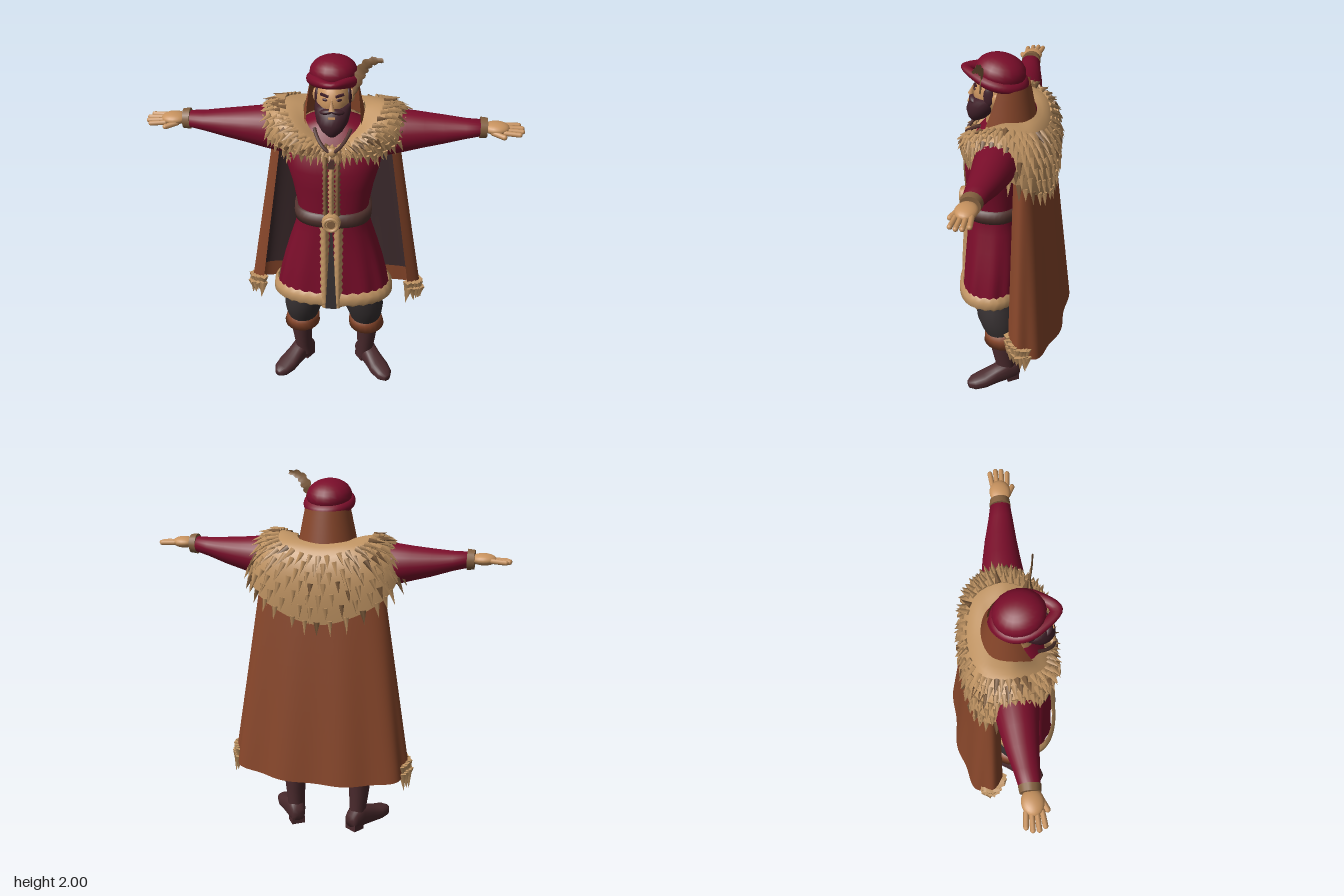
import * as THREE from 'three';
import { mergeGeometries, mergeVertices } from 'three/addons/utils/BufferGeometryUtils.js';

const mat = (name, color, extra = {}) => Object.assign(new THREE.MeshStandardMaterial({ color, ...extra }), { name });
const DS = { side: THREE.DoubleSide };
const M = {
  red: mat('crimsonCloth', 0x7a0d2a, DS), fur: mat('tanFur', 0xc09463, DS), skin: mat('skin', 0xc8935f),
  brown: mat('russetCloth', 0x87462a, DS), boot: mat('bootLeather', 0x4a2a2d), pants: mat('darkTrousers', 0x363031, DS),
  lining: mat('capeLining', 0x3d2b2d, DS), beard: mat('darkHair', 0x41212a), shade: mat('brownFur', 0x83603f, DS),
  belt: mat('beltLeather', 0x52342f, DS),
};
let seed = 7;
const rnd = () => (seed = (seed * 16807) % 2147483647) / 2147483647;
const V = (x, y, z) => new THREE.Vector3(x, y, z);
const lerp = THREE.MathUtils.lerp;

function add(parent, name, geo, material, pos, scale, rot) {
  const m = new THREE.Mesh(geo, material);
  m.name = name;
  if (pos) m.position.set(...pos);
  if (scale) m.scale.set(...scale);
  if (rot) m.rotation.set(...rot);
  parent.add(m);
  return m;
}

// Surface from a rule f(u, v) -> [x, y, z]; faces outward when u runs right and v runs up
function grid(nu, nv, f) {
  const p = [], idx = [], w = nu + 1;
  for (let j = 0; j <= nv; j++) for (let i = 0; i <= nu; i++) p.push(...f(i / nu, j / nv, i, j));
  for (let j = 0; j < nv; j++) for (let i = 0; i < nu; i++) {
    const a = j * w + i;
    idx.push(a, a + 1, a + w + 1, a, a + w + 1, a + w);
  }
  let g = new THREE.BufferGeometry();
  g.setAttribute('position', new THREE.Float32BufferAttribute(p, 3));
  g.setIndex(idx);
  g = mergeVertices(g, 1e-5);
  g.computeVertexNormals();
  return g;
}

// Stack of rounded sections [y, cx, cz, rx, rz]
function loft(secs, n = 28, power = 2, ripple = () => 0) {
  const e = 2 / power, sp = t => Math.sign(t) * Math.abs(t) ** e;
  return grid(n, secs.length - 1, (u, v, i, j) => {
    const a = (i % n) / n * Math.PI * 2, [y, cx, cz, rx, rz] = secs[j], k = 1 + ripple(a, y);
    return [cx + rx * k * sp(Math.sin(a)), y, cz + rz * k * sp(Math.cos(a))];
  });
}
const capped = s => [[s[0][0], s[0][1], s[0][2], 0, 0], ...s, [s.at(-1)[0], s.at(-1)[1], s.at(-1)[2], 0, 0]];

function tuft(pos, dir, len, w) {
  const g = new THREE.ConeGeometry(w, len, 4);
  g.translate(0, len * 0.4, 0);
  g.applyQuaternion(new THREE.Quaternion().setFromUnitVectors(V(0, 1, 0), dir.clone().normalize()));
  return g.translate(pos.x, pos.y, pos.z);
}
const ball = () => new THREE.SphereGeometry(1, 20, 14);

const COAT = [[0.62, 0, 0.105, 0.3, 0.165], [0.72, 0, 0.103, 0.285, 0.163], [0.82, 0, 0.1, 0.262, 0.16], [0.92, 0, 0.1, 0.235, 0.153],
  [1.02, 0, 0.102, 0.205, 0.145], [1.1, 0, 0.105, 0.185, 0.14], [1.18, 0, 0.1, 0.187, 0.145], [1.3, 0, 0.092, 0.21, 0.16],
  [1.4, 0, 0.085, 0.238, 0.166], [1.48, 0, 0.07, 0.25, 0.16], [1.55, 0, 0.055, 0.22, 0.14], [1.61, 0, 0.04, 0.15, 0.1], [1.64, 0, 0.04, 0.07, 0.06]];
function coatAt(y, grow = 0) {
  const i = Math.max(1, COAT.findIndex(s => s[0] >= y)), a = COAT[i - 1], b = COAT[i], t = (y - a[0]) / (b[0] - a[0]);
  const s = a.map((q, k) => lerp(q, b[k], t));
  return [y, 0, s[2], s[3] + grow, s[4] + grow];
}
const frontZ = y => { const s = coatAt(Math.max(y, 0.62)); return s[2] + s[4]; };

function buildCoat(g) {
  const pleat = (a, y) => 0.03 * Math.max(0, (1.05 - y) / 0.45) * Math.cos(11 * a);
  add(g, 'coat', loft(COAT, 66, 2.4, pleat), M.red);
  add(g, 'coatUnderside', loft([[0.63, 0, 0.105, 0, 0], [0.632, 0, 0.105, 0.29, 0.155]], 30, 2.4), M.pants);
  // Ragged fur hem
  const n = 60, hem = grid(n, 3, (u, v, i, j) => {
    const a = (i % n) / n * Math.PI * 2, r = [0.005, 0.025, 0.022, 0.004][j], jag = (i % 2) * 0.012;
    const sp = t => Math.sign(t) * Math.abs(t) ** 0.83;
    return [(0.3 + r) * sp(Math.sin(a)), [0.605 - jag, 0.62, 0.66, 0.675 + jag][j], 0.105 + (0.165 + r) * sp(Math.cos(a))];
  });
  add(g, 'furHem', hem, M.fur);
  // Front opening: dark slit below the belt, fur borders, narrow placket above
  add(g, 'skirtSlit', grid(1, 8, (u, v) => { const y = lerp(0.6, 1.09, v); return [(u - 0.5) * lerp(0.06, 0.01, v), y, frontZ(y) + 0.03 - 0.014 * v]; }), M.pants);
  const strip = (x0, x1, y0, y1, lift) => grid(4, 24, (u, v, i, j) => {
    const y = lerp(y0, y1, v), edge = (i === 0 || i === 4);
    return [lerp(x0, x1, u) + (edge ? (j % 2) * 0.008 * (i ? 1 : -1) : 0), y, frontZ(y) + (edge ? -0.006 : lift)];
  });
  for (const s of [-1, 1]) {
    const [a, b] = s > 0 ? [0.014, 0.056] : [-0.056, -0.014], [c, d] = s > 0 ? [0.02, 0.042] : [-0.042, -0.02];
    add(g, 'skirtFurBorder', strip(a, b, 0.6, 1.1, 0.024), M.fur);
    add(g, 'chestFurBorder', strip(c, d, 1.16, 1.52, 0.014), M.shade);
  }
  add(g, 'placket', strip(-0.014, 0.014, 1.16, 1.48, 0.018), M.fur);
  // Belt and round buckle
  add(g, 'belt', loft([[1.095, 0, 0.105, 0.17, 0.13], coatAt(1.096, 0.014), coatAt(1.13, 0.018), coatAt(1.168, 0.014), [1.169, 0, 0.1, 0.17, 0.13]], 40, 2.4), M.belt);
  add(g, 'buckle', new THREE.CylinderGeometry(0.046, 0.05, 0.03, 20), M.fur, [0, 1.135, 0.272], null, [Math.PI / 2, 0, 0]);
  add(g, 'buckleRing', new THREE.TorusGeometry(0.036, 0.009, 8, 20), M.fur, [0, 1.135, 0.29]);
  add(g, 'buckleInset', new THREE.CylinderGeometry(0.022, 0.022, 0.008, 12), M.shade, [0, 1.135, 0.288], null, [Math.PI / 2, 0, 0]);
}

function buildMantle(g) {
  // Half outlines from front to back, mirrored into closed rings
  const ring = h => new THREE.CatmullRomCurve3([...h, ...h.slice(1, -1).reverse().map(([x, y, z]) => [-x, y, z])].map(p => V(...p)), true);
  const inner = ring([[0, 1.54, 0.16], [0.11, 1.6, 0.14], [0.155, 1.68, 0.03], [0.12, 1.68, -0.07], [0, 1.67, -0.11]]);
  const mid = ring([[0, 1.54, 0.24], [0.24, 1.67, 0.25], [0.34, 1.75, 0.03], [0.3, 1.7, -0.17], [0, 1.62, -0.26]]);
  const outer = ring([[0, 1.5, 0.24], [0.25, 1.51, 0.19], [0.4, 1.57, 0.04], [0.34, 1.41, -0.15], [0, 1.27, -0.21]]);
  const at = (u, v) => {
    const w = 1 - v;
    return inner.getPoint(u % 1).multiplyScalar(w * w).addScaledVector(mid.getPoint(u % 1), 2 * w * v).addScaledVector(outer.getPoint(u % 1), v * v);
  };
  add(g, 'furMantle', grid(56, 10, (u, v) => at(u, 1 - v).toArray()), M.fur);
  const light = [], dark = [];
  for (let r = 0; r < 7; r++) for (let i = 0; i < 40; i++) {
    const u = (i + (r % 2) / 2 + 0.4 * rnd()) / 40, v = 0.3 + r * 0.115;
    const p = at(u, v), along = at(u, v).sub(at(u, v - 0.03)).normalize();
    const n = at(u + 0.005, v).sub(at(u - 0.005 + 1, v)).cross(along).normalize().negate();
    if (n.dot(V(p.x, p.y - 1.45, p.z - 0.02)) < 0) n.negate();
    const back = p.z < 0.02 ? 1 : 0.75;
    (rnd() < 0.16 ? dark : light).push(tuft(p, along.addScaledVector(n, 0.22), (0.06 + 0.035 * rnd()) * back, 0.017));
  }
  // Frayed fur at the armholes
  for (const s of [-1, 1]) for (let k = 0; k < 5; k++)
    light.push(tuft(V(s * (0.25 - 0.01 * k), 1.53 - 0.02 * k, 0.17), V(s * (k % 2 ? 0.3 : -0.3), -1, 0.1), 0.06, 0.014));
  add(g, 'furTufts', mergeGeometries(light), M.fur);
  add(g, 'darkFurTufts', mergeGeometries(dark), M.shade);
  add(g, 'clasp', ball(), M.fur, [0, 1.53, 0.24], [0.028, 0.026, 0.02]);
  add(g, 'claspTag', new THREE.BoxGeometry(0.03, 0.05, 0.012), M.belt, [0, 1.475, 0.262]);
  for (const s of [-1, 1]) add(g, 'neckCord', new THREE.TubeGeometry(new THREE.QuadraticBezierCurve3(V(s * 0.09, 1.62, 0.16), V(s * 0.06, 1.56, 0.25), V(0, 1.53, 0.25)), 8, 0.009, 6), M.belt);
}

function buildCape(g) {
  // t runs from the shoulders (0) to the hem (1), u from -1 to 1 across
  const at = (u, t, k = 1) => {
    const a = u * 2.1, W = lerp(0.32, 0.495, t), D = lerp(0.09, 0.175, t), zc = lerp(-0.095, -0.13, t);
    const fold = k - 0.045 * t * (0.5 + 0.5 * Math.cos(a * 9)) * (Math.abs(u) < 0.8 ? 1 : 0.4);
    return [W * fold * Math.sin(a), lerp(1.52, 0.4 + 0.08 * u * u, t), zc - D * (k - (k - fold) * 2.5) * Math.cos(a)];
  };
  add(g, 'cape', grid(72, 14, (u, v) => at(1 - 2 * u, 1 - v)), M.brown);
  add(g, 'capeLining', grid(60, 10, (u, v) => at((2 * u - 1) * 0.74, 0.9 * (1 - v), 0.965)), M.lining);
  // Fur at the lower front corners
  const tufts = [];
  for (const s of [-1, 1]) for (let k = 0; k < 16; k++) {
    const p = V(...at(s * (0.66 + 0.34 * (k % 8) / 7), k < 8 ? 0.95 : 0.99));
    tufts.push(tuft(p, V(s * (0.3 * rnd() - 0.15), -1, 0.25 * rnd() - 0.1), 0.075 + 0.04 * rnd(), 0.026));
  }
  add(g, 'capeCornerFur', mergeGeometries(tufts), M.fur);
  // Standing collar behind the head
  add(g, 'standingCollar', grid(28, 6, (u, v) => {
    const a = Math.PI + (u - 0.5) * lerp(4.3, 3.5, v), r = lerp(0.165, 0.118, v);
    return [r * Math.sin(a), lerp(1.6, 1.83, v), lerp(0.045, 0.04, v) + r * Math.cos(a)];
  }), M.brown);
}

function buildHead(g) {
  add(g, 'neck', new THREE.CylinderGeometry(0.07, 0.08, 0.14, 18), M.skin, [0, 1.65, 0.07]);
  add(g, 'head', ball(), M.skin, [0, 1.765, 0.1], [0.086, 0.115, 0.11]);
  add(g, 'beard', loft(capped([[1.605, 0, 0.205, 0.02, 0.018], [1.63, 0, 0.19, 0.052, 0.05], [1.67, 0, 0.17, 0.078, 0.078],
    [1.71, 0, 0.15, 0.088, 0.086], [1.74, 0, 0.135, 0.089, 0.077], [1.755, 0, 0.125, 0.084, 0.07]]), 24), M.beard);
  add(g, 'nose', new THREE.ConeGeometry(0.017, 0.06, 6), M.skin, [0, 1.775, 0.215], null, [-0.25, 0, 0]);
  add(g, 'mouth', new THREE.BoxGeometry(0.035, 0.008, 0.008), M.skin, [0, 1.713, 0.234]);
  for (const s of [-1, 1]) {
    add(g, 'moustache', ball(), M.beard, [s * 0.028, 1.735, 0.205], [0.036, 0.014, 0.022], [0, s * 0.4, -s * 0.25]);
    add(g, 'sideburn', ball(), M.beard, [s * 0.077, 1.775, 0.115], [0.014, 0.05, 0.028]);
    add(g, 'ear', ball(), M.skin, [s * 0.09, 1.765, 0.075], [0.014, 0.034, 0.022]);
    add(g, 'eye', ball(), M.beard, [s * 0.034, 1.793, 0.196], [0.014, 0.007, 0.006], [0, s * 0.35, 0]);
    add(g, 'eyebrow', new THREE.BoxGeometry(0.042, 0.01, 0.012), M.beard, [s * 0.037, 1.815, 0.192], null, [0, s * 0.35, s * 0.2]);
  }
  // Soft cap with a rolled brim that comes to a point in front
  add(g, 'capCrown', ball(), M.red, [0, 1.887, 0.07], [0.118, 0.083, 0.128], [-0.18, 0, 0]);
  add(g, 'capBrim', grid(40, 12, (u, v, i, j) => {
    const a = (i % 40) / 40 * Math.PI * 2, b = (j % 12) / 12 * Math.PI * 2, c = Math.cos(a), q = Math.max(0, c) ** 6;
    const r = 0.03, z = 0.075 + (0.115 + r * Math.cos(b)) * c + 0.05 * q;
    return [(0.105 + r * Math.cos(b)) * Math.sin(a), 1.852 + 0.22 * (z - 0.075) + (r - 0.012 * q) * Math.sin(b), z];
  }), M.red);
  // Curled plume with a ragged edge
  const path = new THREE.CatmullRomCurve3([V(0.1, 1.8, 0.15), V(0.122, 1.87, 0.14), V(0.14, 1.925, 0.13), V(0.18, 1.972, 0.14), V(0.24, 1.985, 0.15)]);
  add(g, 'plume', grid(2, 20, (u, v, i, j) => {
    const p = path.getPoint(v), t = path.getTangent(v), w = (0.004 + 0.026 * Math.sin(Math.PI * Math.min(1, v * 0.95)) ** 0.8) * (j % 3 ? 1 : 0.7);
    return [p.x + t.y * w * (2 * u - 1), Math.min(2, p.y - t.x * w * (2 * u - 1)), p.z + (i === 1 ? 0.008 : 0)];
  }), M.shade);
}

function buildArm(g) {
  // Sections [x, -height, z, half height, half depth] laid along x
  const sleeve = loft(capped([[0.16, -1.54, 0.04, 0.09, 0.1], [0.28, -1.545, 0.03, 0.118, 0.11], [0.36, -1.555, 0.028, 0.108, 0.108],
    [0.45, -1.563, 0.03, 0.09, 0.095], [0.55, -1.572, 0.035, 0.072, 0.08], [0.66, -1.585, 0.045, 0.05, 0.062], [0.74, -1.595, 0.05, 0.04, 0.05]]), 24);
  add(g, 'sleeve', sleeve.rotateZ(-Math.PI / 2), M.red);
  add(g, 'wristCuff', new THREE.CylinderGeometry(0.05, 0.054, 0.036, 18), M.shade, [0.747, 1.596, 0.05], null, [0, 0, -Math.PI / 2]);
  add(g, 'palm', ball(), M.skin, [0.81, 1.6, 0.056], [0.066, 0.03, 0.054]);
  for (let k = 0; k < 4; k++) {
    const len = [0.07, 0.085, 0.085, 0.07][k];
    add(g, 'finger', new THREE.CapsuleGeometry(0.013, len, 4, 8), M.skin, [0.853 + len / 2, 1.598 - 0.003 * k, 0.018 + 0.027 * k], null, [0, 0.1 - 0.07 * k, -Math.PI / 2 - 0.04]);
  }
  add(g, 'thumb', new THREE.CapsuleGeometry(0.014, 0.06, 4, 8), M.skin, [0.82, 1.585, 0.108], null, [0, -0.45, -Math.PI / 2 - 0.15]);
}

function buildLeg(g) {
  add(g, 'trouserLeg', loft([[0.33, 0.18, 0.035, 0.075, 0.08], [0.4, 0.178, 0.05, 0.093, 0.1], [0.47, 0.17, 0.065, 0.108, 0.112],
    [0.54, 0.155, 0.075, 0.105, 0.112], [0.62, 0.135, 0.08, 0.1, 0.112], [0.7, 0.13, 0.08, 0.1, 0.11]], 24), M.pants);
  add(g, 'trouserCuff', loft(capped([[0.3, 0.185, 0.03, 0.1, 0.108], [0.345, 0.18, 0.034, 0.094, 0.102], [0.385, 0.178, 0.036, 0.085, 0.094]]), 20), M.brown);
  add(g, 'bootShaft', loft([[0.06, 0.18, 0.015, 0.05, 0.055], [0.13, 0.183, 0.02, 0.048, 0.058], [0.22, 0.187, 0.027, 0.056, 0.068], [0.32, 0.187, 0.03, 0.066, 0.076]], 20), M.boot);
  // Foot sections [along, 0, -height, half width, half height]
  const foot = loft(capped([[-0.055, 0, -0.06, 0.036, 0.036], [-0.03, 0, -0.07, 0.046, 0.055], [0.02, 0, -0.075, 0.05, 0.068], [0.09, 0, -0.058, 0.05, 0.054],
    [0.16, 0, -0.043, 0.057, 0.04], [0.22, 0, -0.037, 0.046, 0.033], [0.25, 0, -0.034, 0.02, 0.02]]), 20, 2.5).rotateX(Math.PI / 2);
  add(g, 'bootFoot', foot, M.boot, [0.18, 0, 0], null, [0, 0.58, 0]);
  add(g, 'bootHeel', new THREE.BoxGeometry(0.075, 0.045, 0.07), M.boot, [0.172, 0.0225, -0.013], null, [0, 0.58, 0]);
}

export function createModel() {
  const model = new THREE.Group();
  model.name = 'cloakedNobleman';
  const part = (name, build, mirror) => {
    const g = new THREE.Group();
    g.name = name;
    build(g);
    if (mirror) g.scale.x = -1;
    model.add(g);
  };
  part('coatAndBelt', buildCoat);
  part('mantle', buildMantle);
  part('capeAndCollar', buildCape);
  part('headAndCap', buildHead);
  part('leftArm', buildArm);
  part('rightArm', buildArm, true);
  part('leftLeg', buildLeg);
  part('rightLeg', buildLeg, true);
  return model;
}
